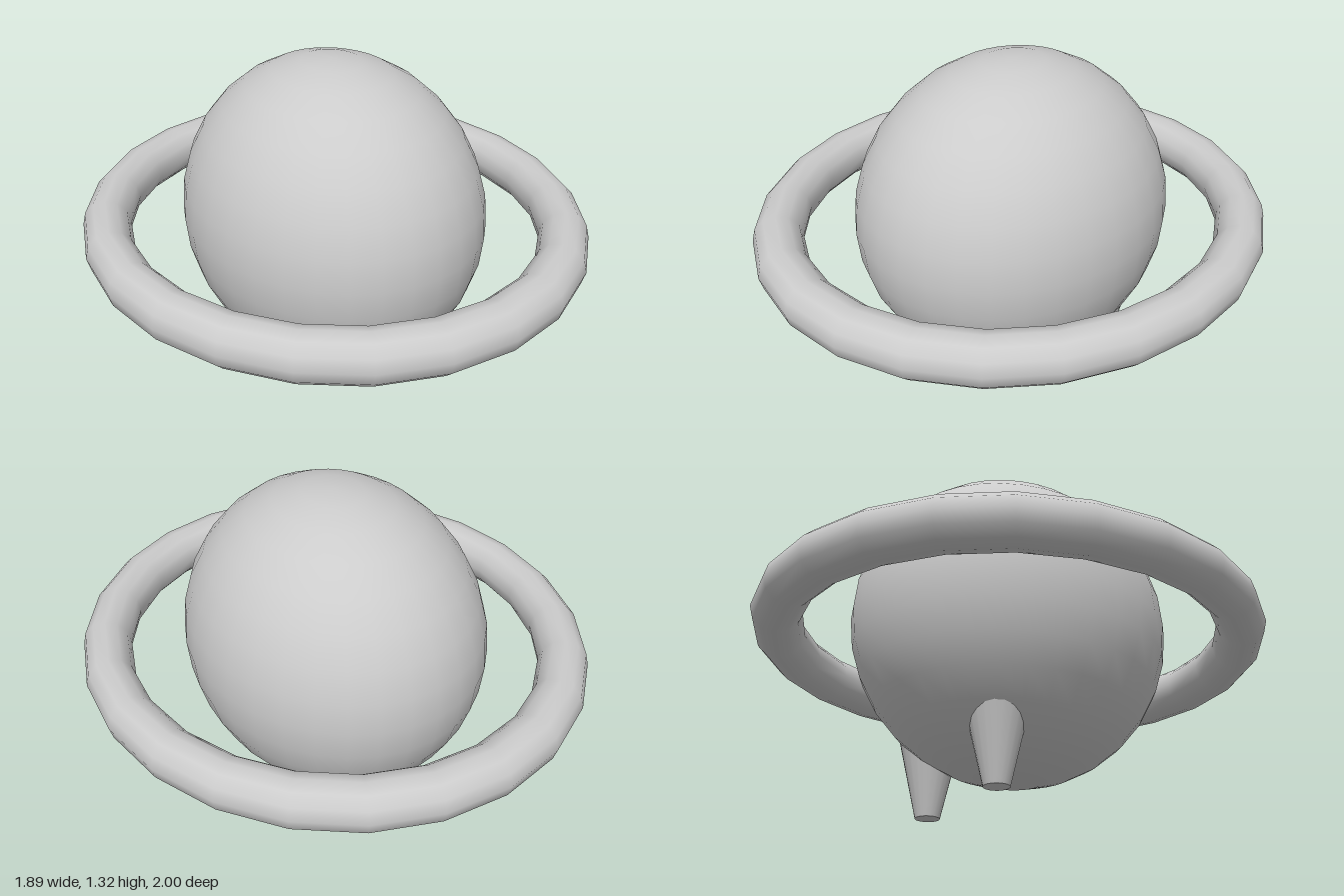
import * as THREE from 'three';

export function createModel() {
  const model = new THREE.Group();
  const material = new THREE.MeshStandardMaterial({ color: 0xcccccc });

  const add = (name, geometry, x, y, z) => {
    const mesh = new THREE.Mesh(geometry, material);
    mesh.name = name;
    mesh.position.set(x, y, z);
    model.add(mesh);
    return mesh;
  };

  // Egg-shaped body, slightly longer front to back
  const body = new THREE.SphereGeometry(1, 32, 16);
  body.scale(0.555, 0.61, 0.63);
  add('body', body, 0, 0.705, -0.005);

  // Level ring around the body, slightly narrower from side to side
  const ring = new THREE.TorusGeometry(0.905, 0.095, 12, 24);
  ring.rotateX(Math.PI / 2);
  ring.scale(0.945, 1, 1);
  add('ring', ring, 0, 0.675, 0);

  // Two tapered legs, their wide tops sunk into the body
  const legHeight = 0.4;
  const leg = new THREE.CylinderGeometry(0.141, 0.047, legHeight, 20);
  add('leftLeg', leg, 0.27, legHeight / 2, -0.2);
  add('rightLeg', leg, -0.225, legHeight / 2, -0.2);

  return model;
}
